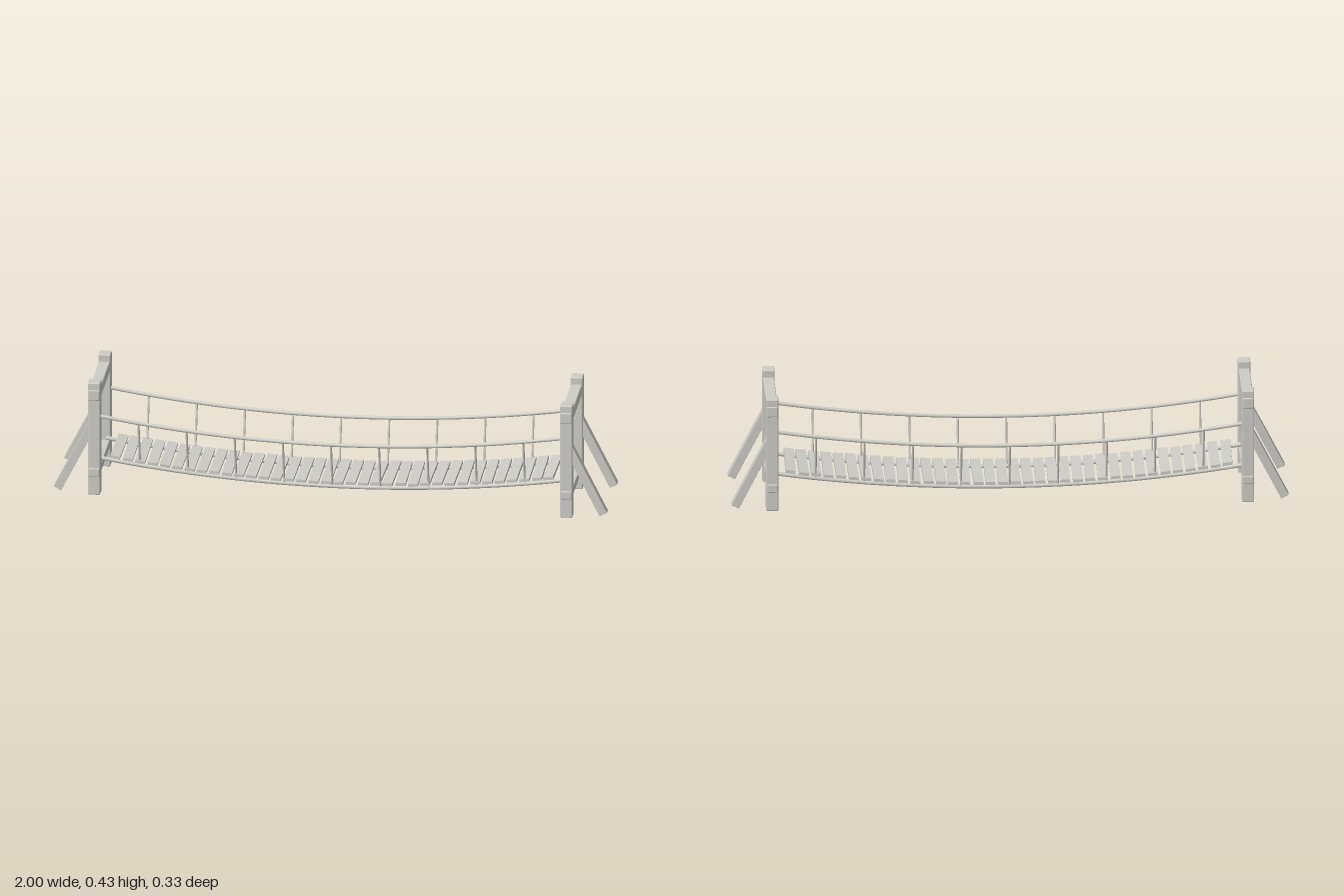
import * as THREE from 'three';
import { RoundedBoxGeometry } from 'three/addons/geometries/RoundedBoxGeometry.js';

const POST_X = 0.853, POST_Z = 0.141, DECK_Z = 0.097;
const railY = x => 0.228 + 0.068 * (x / 0.835) ** 2;
const deckY = x => 0.053 + 0.065 * (x / 0.835) ** 2;

export function createModel() {
  const model = new THREE.Group();
  model.name = 'ropeBridge';
  const grey = new THREE.MeshStandardMaterial({ color: 0xcdccc7 });
  grey.name = 'paleGrey';

  const add = (parent, name, geometry, x = 0, y = 0, z = 0) => {
    const mesh = new THREE.Mesh(geometry, grey);
    mesh.name = name;
    mesh.position.set(x, y, z);
    parent.add(mesh);
    return mesh;
  };
  const beam = (w, h, d, r = 0.004) => new RoundedBoxGeometry(w, h, d, 2, r);

  // End frames: posts, crossbeams and slanted braces
  for (const s of [-1, 1]) {
    const frame = new THREE.Group();
    frame.name = s > 0 ? 'leftFrame' : 'rightFrame';
    model.add(frame);
    for (const t of [-1, 1]) {
      add(frame, 'post', beam(0.044, 0.43, 0.046), s * POST_X, 0.215, t * POST_Z);
      const low = new THREE.Vector3(s * 0.986, 0.016, t * POST_Z);
      const high = new THREE.Vector3(s * 0.853, 0.28, t * POST_Z);
      const brace = add(frame, 'brace', beam(0.03, low.distanceTo(high), 0.032, 0.001));
      brace.position.copy(low).add(high).multiplyScalar(0.5);
      brace.rotation.z = Math.atan2(low.x - high.x, high.y - low.y);
    }
    add(frame, 'topBeam', beam(0.04, 0.04, 0.334), s * POST_X, 0.383, 0);
    add(frame, 'bottomBeam', beam(0.04, 0.032, 0.334), s * POST_X, 0.087, 0);
  }

  // Sagging ropes and the hangers between them
  const rope = (yAt, z, r) => {
    const points = [];
    for (let i = 0; i <= 16; i++) {
      const x = -0.838 + (1.676 * i) / 16;
      points.push(new THREE.Vector3(x, yAt(x), z));
    }
    return new THREE.TubeGeometry(new THREE.CatmullRomCurve3(points), 48, r, 8);
  };
  const up = new THREE.Vector3(0, 1, 0);
  for (const t of [-1, 1]) {
    add(model, 'handRope', rope(railY, t * POST_Z, 0.007));
    add(model, 'deckRope', rope(deckY, t * DECK_Z, 0.008));
    // Rounded rope tips
    for (const x of [-0.838, 0.838]) {
      add(model, 'deckRopeTip', new THREE.SphereGeometry(0.008, 8, 6), x, deckY(x), t * DECK_Z);
    }
    for (let i = -4; i <= 4; i++) {
      const x = i * 0.1738;
      const a = new THREE.Vector3(x, deckY(x), t * DECK_Z);
      const b = new THREE.Vector3(x, railY(x), t * POST_Z);
      const hanger = add(model, 'hanger', new THREE.CylinderGeometry(0.004, 0.004, a.distanceTo(b), 8));
      hanger.position.copy(a).add(b).multiplyScalar(0.5);
      hanger.quaternion.setFromUnitVectors(up, b.clone().sub(a).normalize());
    }
  }

  // Slightly uneven deck planks following the sag
  let seed = 7;
  const jitter = amount => {
    seed = (seed * 16807) % 2147483647;
    return (seed / 2147483647 - 0.5) * 2 * amount;
  };
  const count = 36;
  for (let i = 0; i < count; i++) {
    const x = -0.783 + (1.566 * i) / (count - 1);
    const plank = add(model, 'plank', new THREE.BoxGeometry(0.036, 0.011, 0.222 + jitter(0.005)),
      x, deckY(x) + 0.017, jitter(0.002));
    plank.rotation.set(jitter(0.008), jitter(0.02), Math.atan(2 * 0.065 * x / 0.835 ** 2));
  }
  return model;
}
